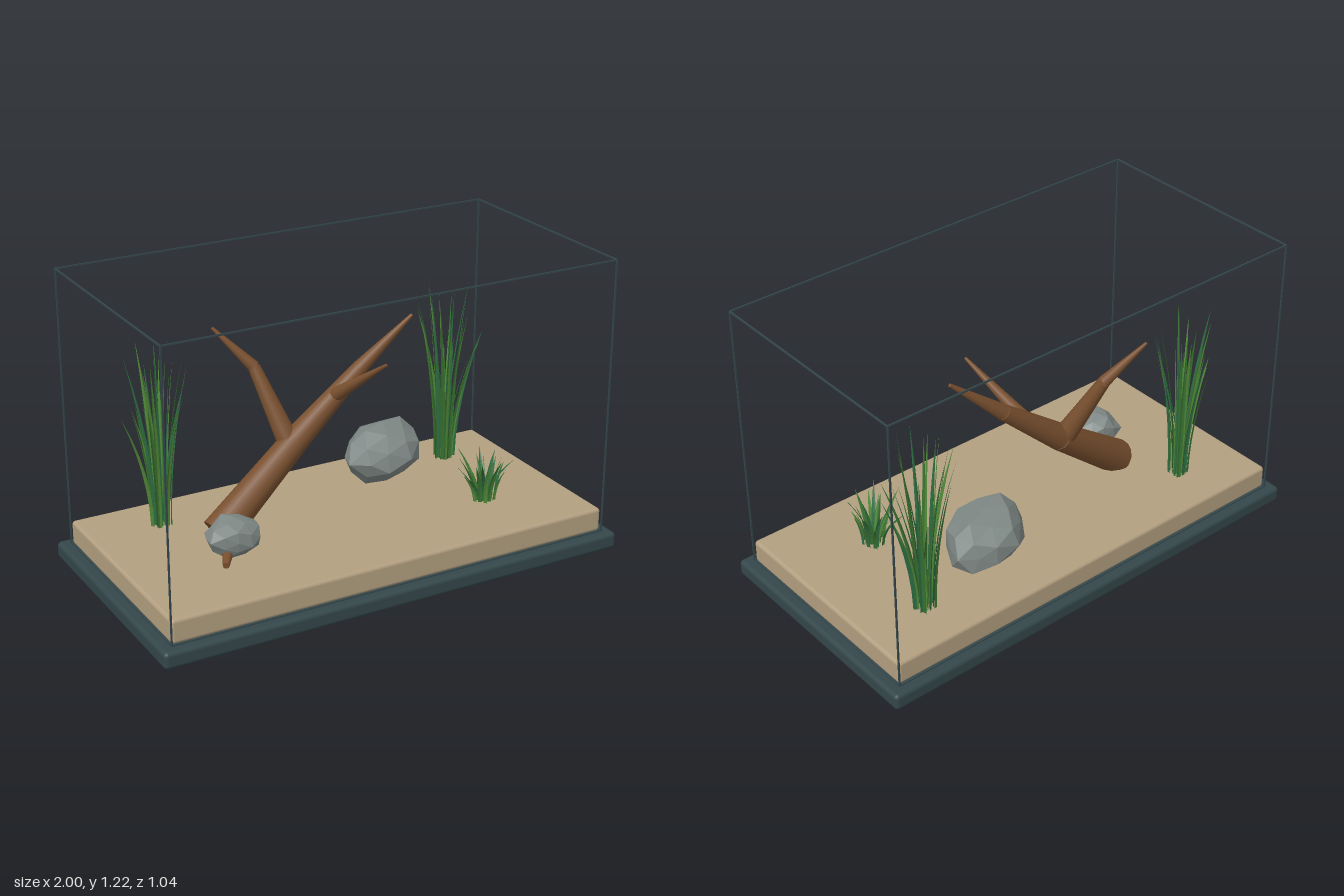
import * as THREE from 'three';
import { RoundedBoxGeometry } from 'three/addons/geometries/RoundedBoxGeometry.js';
import { mergeGeometries } from 'three/addons/utils/BufferGeometryUtils.js';

const mat = (name, color, side = THREE.FrontSide) => {
  const m = new THREE.MeshStandardMaterial({ color, side });
  m.name = name;
  return m;
};
const V = (x, y, z) => new THREE.Vector3(x, y, z);

// Small seeded random generator
function seeded(seed) {
  let s = seed;
  return () => (s = (s * 16807) % 2147483647) / 2147483647;
}

function add(parent, name, geometry, material, x = 0, y = 0, z = 0) {
  const mesh = new THREE.Mesh(geometry, material);
  mesh.name = name;
  mesh.position.set(x, y, z);
  parent.add(mesh);
  return mesh;
}

// Tapered round limb between two points
function limb(parent, name, a, b, ra, rb, material) {
  const dir = b.clone().sub(a);
  const mesh = add(parent, name, new THREE.CylinderGeometry(rb, ra, dir.length(), 14), material);
  mesh.position.copy(a).add(b).multiplyScalar(0.5);
  mesh.quaternion.setFromUnitVectors(V(0, 1, 0), dir.normalize());
}

// Faceted boulder: an icosahedron with uneven radius
function rockGeometry(sx, sy, sz, phase) {
  const geo = new THREE.IcosahedronGeometry(1, 1);
  const pos = geo.attributes.position;
  const p = V(0, 0, 0);
  for (let i = 0; i < pos.count; i++) {
    p.fromBufferAttribute(pos, i);
    const k = 0.97 + 0.08 * Math.sin(5 * p.x + phase) * Math.cos(4 * p.y - phase)
      + 0.05 * Math.sin(6 * p.z + 2 * phase);
    pos.setXYZ(i, p.x * k * sx, p.y * k * sy, p.z * k * sz);
  }
  geo.computeVertexNormals();
  return geo;
}

// Folded leaf blade that rises, then arches outward to a point
function bladeGeometry(root, angle, height, lean, width, twist) {
  const pos = [], idx = [], rows = 6;
  const side = V(Math.cos(twist), 0, Math.sin(twist));
  const fold = V(-side.z, 0, side.x);
  for (let i = 0; i <= rows; i++) {
    const t = i / rows, bend = lean * t ** 1.9;
    const c = root.clone().add(V(Math.cos(angle) * bend, height * t, Math.sin(angle) * bend));
    const w = width * (0.7 + 0.8 * t) * (1 - t ** 1.6) + 0.0004;
    for (const s of [-1, 0, 1]) {
      const p = c.clone().addScaledVector(side, s * w).addScaledVector(fold, s === 0 ? w * 0.4 : 0);
      pos.push(p.x, p.y, p.z);
    }
    if (i < rows) {
      for (const j of [0, 1]) {
        const a = i * 3 + j;
        idx.push(a, a + 1, a + 4, a, a + 4, a + 3);
      }
    }
  }
  const geo = new THREE.BufferGeometry();
  geo.setAttribute('position', new THREE.Float32BufferAttribute(pos, 3));
  geo.setIndex(idx);
  const flat = geo.toNonIndexed();
  flat.computeVertexNormals();
  return flat;
}

// Tuft of blades, sorted by green
function plant(parent, name, o, greens) {
  const rnd = seeded(o.seed);
  const tuft = new THREE.Group();
  tuft.name = name;
  const sets = greens.map(() => []);
  for (let i = 0; i < o.count; i++) {
    const a = i * 2.39996 + rnd() * 0.5;
    const r = o.spread * Math.sqrt((i + 0.5) / o.count);
    const root = V(Math.cos(a) * r, 0, Math.sin(a) * r);
    const h = o.height * (0.58 + 0.42 * rnd());
    const lean = o.lean * (0.3 + 0.7 * rnd());
    sets[i % greens.length].push(bladeGeometry(root, a, h, lean, o.width, a + Math.PI / 2 + (rnd() - 0.5) * 1.6));
  }
  sets.forEach((s, i) => add(tuft, 'blades' + (i + 1), mergeGeometries(s), greens[i]));
  tuft.position.set(o.x, 0.17, o.z);
  parent.add(tuft);
}

export function createModel() {
  const model = new THREE.Group();
  model.name = 'terrarium';
  const frameMat = mat('dark slate', 0x34474a);
  const sandMat = mat('sand', 0xb39f80);
  const woodMat = mat('driftwood', 0x79502f);
  const stoneMat = mat('stone', 0x7f8986);
  const greens = [
    mat('deep green', 0x2c6b40, THREE.DoubleSide),
    mat('leaf green', 0x4f8636, THREE.DoubleSide),
    mat('forest green', 0x37702f, THREE.DoubleSide),
  ];

  // Plinth and sand bed
  add(model, 'plinth', new RoundedBoxGeometry(2, 0.07, 1.04, 3, 0.018), frameMat, 0, 0.035, 0);
  add(model, 'sandBed', new RoundedBoxGeometry(1.9, 0.1, 0.945, 3, 0.015), sandMat, 0, 0.12, 0);

  // Thin tank edges
  const frame = new THREE.Group();
  frame.name = 'tankFrame';
  model.add(frame);
  const X = 0.952, Z = 0.477, T = 0.006, top = 1.218;
  for (const s of [-1, 1]) {
    for (const y of [0.072, top]) {
      add(frame, 'longEdge', new THREE.BoxGeometry(2 * X, T, T), frameMat, 0, y, s * Z);
      add(frame, 'shortEdge', new THREE.BoxGeometry(T, T, 2 * Z), frameMat, s * X, y, 0);
    }
    for (const q of [-1, 1]) {
      add(frame, 'cornerPost', new THREE.BoxGeometry(T, top - 0.07, T), frameMat, s * X, (top + 0.07) / 2, q * Z);
    }
  }

  // Driftwood: trunk, two branches and a root
  const wood = new THREE.Group();
  wood.name = 'driftwood';
  model.add(wood);
  const limbs = {
    trunk: [[-0.51, 0.19, -0.04, 0.073], [-0.14, 0.485, -0.095, 0.055], [0.15, 0.73, -0.1, 0.032], [0.375, 0.93, -0.067, 0.007]],
    tallBranch: [[-0.165, 0.48, -0.1, 0.045], [-0.245, 0.77, -0.235, 0.025], [-0.383, 0.93, -0.318, 0.006]],
    sideBranch: [[0.035, 0.645, -0.09, 0.03], [0.125, 0.838, 0.157, 0.006]],
    root: [[-0.46, 0.22, -0.03, 0.042], [-0.603, 0.188, 0.215, 0.013]],
  };
  for (const [name, pts] of Object.entries(limbs)) {
    for (let i = 0; i + 1 < pts.length; i++) {
      const [a, b] = [pts[i], pts[i + 1]];
      limb(wood, name, V(a[0], a[1], a[2]), V(b[0], b[1], b[2]), a[3], b[3], woodMat);
    }
  }

  // Boulders
  const big = add(model, 'largeRock', rockGeometry(0.2, 0.13, 0.145, 0.8), stoneMat, 0.33, 0.303, -0.207);
  big.rotation.y = 0.35;
  const small = add(model, 'smallRock', rockGeometry(0.112, 0.083, 0.09, 2.6), stoneMat, -0.517, 0.25, 0.108);
  small.rotation.y = -0.2;

  // Grass tufts
  plant(model, 'leftTallGrass', { x: -0.65, z: -0.265, height: 0.77, lean: 0.12, spread: 0.042, width: 0.011, count: 24, seed: 17 }, greens);
  plant(model, 'rightTallGrass', { x: 0.675, z: -0.275, height: 0.78, lean: 0.12, spread: 0.045, width: 0.011, count: 24, seed: 91 }, greens);
  plant(model, 'shortGrass', { x: 0.59, z: 0.165, height: 0.21, lean: 0.115, spread: 0.05, width: 0.011, count: 24, seed: 53 }, greens);
  return model;
}
